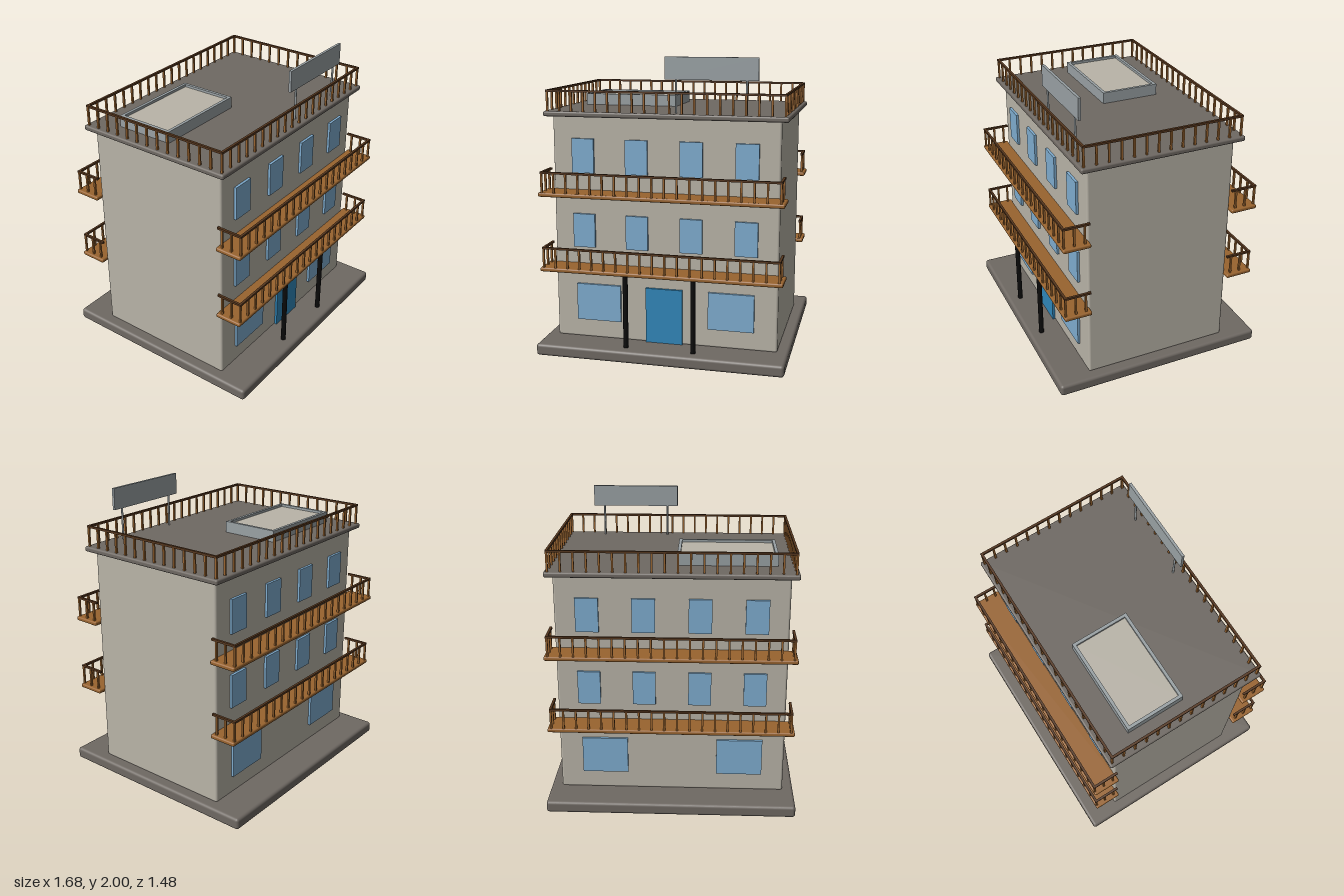
import * as THREE from 'three';
import { RoundedBoxGeometry } from 'three/addons/geometries/RoundedBoxGeometry.js';

const mat = (name, color) => {
  const m = new THREE.MeshStandardMaterial({ color });
  m.name = name;
  return m;
};

export function createModel() {
  const wall = mat('wall plaster', 0xb9b4a8);
  const concrete = mat('concrete', 0x6f6963);
  const wood = mat('wood', 0x99642f);
  const darkWood = mat('dark wood', 0x55361d);
  const glass = mat('window glass', 0x7fadd0);
  const doorBlue = mat('door blue', 0x3187ba);
  const black = mat('black metal', 0x0a0a0a);
  const metal = mat('grey metal', 0x99a1a4);

  const model = new THREE.Group();
  model.name = 'apartmentBuilding';

  const add = (parent, name, geometry, material, x, y, z) => {
    const mesh = new THREE.Mesh(geometry, material);
    mesh.name = name;
    mesh.position.set(x, y, z);
    parent.add(mesh);
    return mesh;
  };
  // Box given by its limits on each axis, with optional rounded edges
  const block = (parent, name, material, [x0, x1], [y0, y1], [z0, z1], r = 0) => {
    const size = [x1 - x0, y1 - y0, z1 - z0];
    const geo = r ? new RoundedBoxGeometry(...size, 3, r) : new THREE.BoxGeometry(...size);
    return add(parent, name, geo, material, (x0 + x1) / 2, (y0 + y1) / 2, (z0 + z1) / 2);
  };
  const group = (parent, name) => {
    const g = new THREE.Group();
    g.name = name;
    parent.add(g);
    return g;
  };

  // Plinth, main block and roof slab
  block(model, 'plinth', concrete, [-0.84, 0.84], [0, 0.08], [-0.74, 0.74], 0.02);
  block(model, 'walls', wall, [-0.765, 0.765], [0.075, 1.615], [-0.508, 0.508], 0.015);
  block(model, 'roofSlab', concrete, [-0.815, 0.815], [1.605, 1.64], [-0.56, 0.56], 0.012);

  // Railing pieces
  const RX = 0.79, RAIL_H = 0.14, RAIL_T = 0.016, POST_T = 0.013;
  const postGeo = new THREE.BoxGeometry(POST_T, RAIL_H, POST_T);
  const post = (parent, x, y, z) => add(parent, 'railPost', postGeo, wood, x, y + RAIL_H / 2 - 0.005, z);
  const railX = (parent, y, z) => {
    block(parent, 'handrail', darkWood, [-RX - RAIL_T / 2, RX + RAIL_T / 2],
      [y + RAIL_H - 0.014, y + RAIL_H], [z - RAIL_T / 2, z + RAIL_T / 2]);
    for (let i = 0; i < 20; i++) post(parent, -RX + (2 * RX * i) / 19, y, z);
  };
  const railZ = (parent, x, y, z0, z1) => block(parent, 'sideHandrail', darkWood,
    [x - RAIL_T / 2, x + RAIL_T / 2], [y + RAIL_H - 0.014, y + RAIL_H], [z0, z1]);

  // Roof railing
  const roofRail = group(model, 'roofRailing');
  for (const s of [-1, 1]) {
    railX(roofRail, 1.64, s * 0.536);
    railZ(roofRail, s * RX, 1.64, -0.528, 0.528);
    for (let i = 1; i < 13; i++) post(roofRail, s * RX, 1.64, -0.536 + (1.072 * i) / 13);
  }

  // Facades: windows and balconies, the same on front and back
  for (const side of ['front', 'back']) {
    const facade = group(model, side + 'Facade');
    const zs = side === 'front' ? 1 : -1;
    const span = (a, b) => (zs > 0 ? [a, b] : [-b, -a]);
    const pane = span(0.5, 0.525);
    for (const y of [0.72, 1.23])
      for (const x of [-0.555, -0.187, 0.183, 0.551])
        block(facade, 'window', glass, [x - 0.076, x + 0.076], [y, y + 0.23], pane);
    for (const x of [-0.46, 0.455])
      block(facade, 'shopWindow', glass, [x - 0.155, x + 0.155], [0.205, 0.46], pane);

    for (const y of [0.605, 1.115]) {
      const balcony = group(facade, 'balcony');
      block(balcony, 'balconyFloor', wood, [-0.815, 0.815], [y - 0.028, y], span(0.5, 0.687), 0.01);
      railX(balcony, y, zs * 0.675);
      for (const s of [-1, 1]) {
        railZ(balcony, s * RX, y, ...span(0.5, 0.667));
        for (const z of [0.535, 0.605]) post(balcony, s * RX, y, zs * z);
      }
    }
  }

  // Entrance door and the two columns under the front balcony
  block(model, 'door', doorBlue, [-0.128, 0.125], [0.08, 0.46], [0.5, 0.525]);
  for (const x of [-0.231, 0.228])
    add(model, 'column', new THREE.CylinderGeometry(0.017, 0.017, 0.505, 16), black, x, 0.3325, 0.652);

  // Skylight: raised rim with a slightly sunken panel
  const skylight = group(model, 'skylight');
  const [x0, x1, z0, z1, t] = [-0.687, -0.03, -0.357, 0.045, 0.021];
  const h = [1.635, 1.717];
  block(skylight, 'skylightRim', metal, [x0, x1], h, [z0, z0 + t]);
  block(skylight, 'skylightRim', metal, [x0, x1], h, [z1 - t, z1]);
  block(skylight, 'skylightRim', metal, [x0, x0 + t], h, [z0 + t, z1 - t]);
  block(skylight, 'skylightRim', metal, [x1 - t, x1], h, [z0 + t, z1 - t]);
  block(skylight, 'skylightPanel', wall, [x0 + t, x1 - t], [1.635, 1.7], [z0 + t, z1 - t]);

  // Blank roof sign on two thin legs
  const sign = group(model, 'roofSign');
  block(sign, 'signBoard', metal, [0, 0.61], [1.855, 2], [0.472, 0.49]);
  for (const x of [0.075, 0.535])
    add(sign, 'signLeg', new THREE.CylinderGeometry(0.007, 0.007, 0.225, 12), metal, x, 1.7475, 0.481);

  return model;
}
